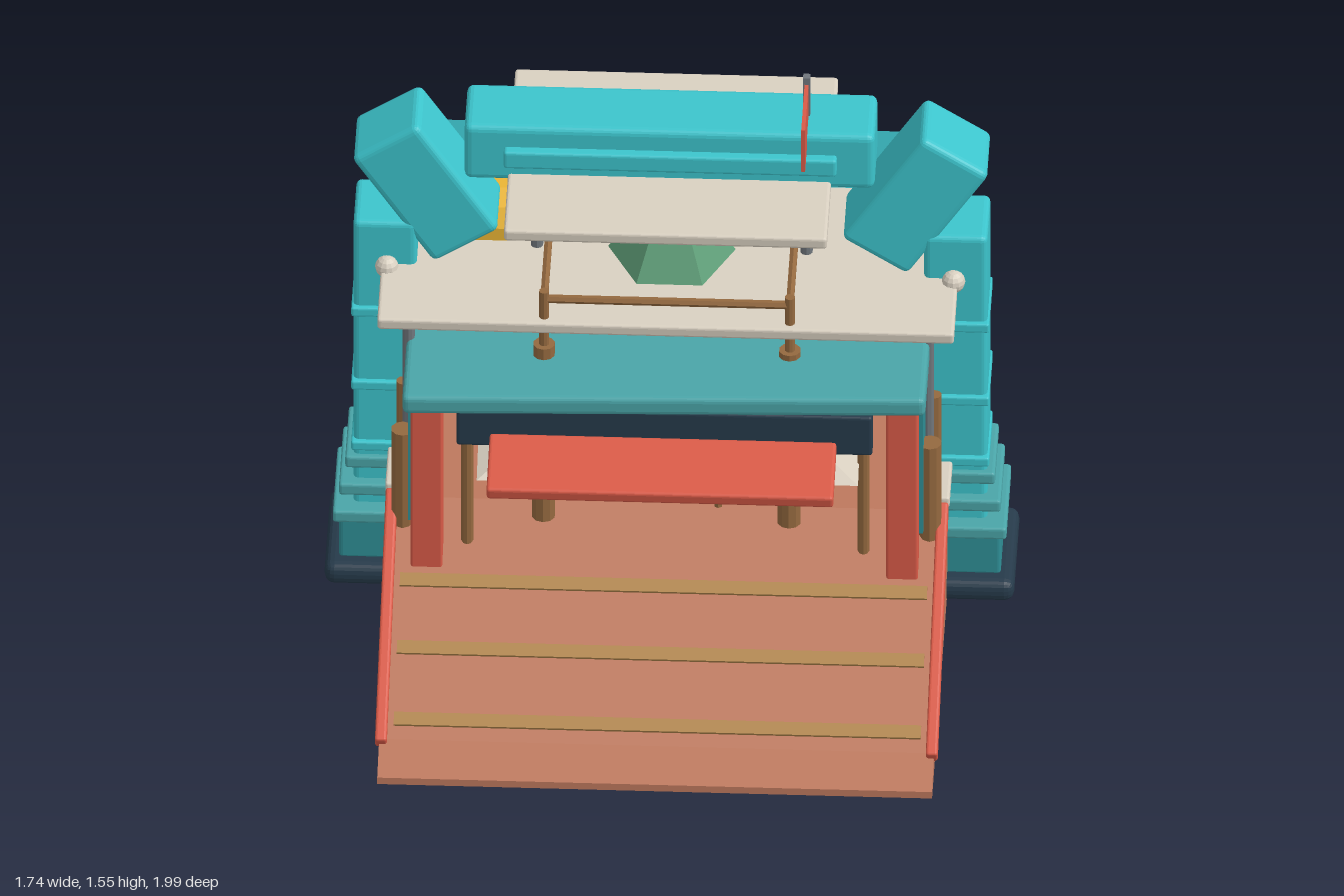
import * as THREE from 'three';
import { RoundedBoxGeometry } from 'three/addons/geometries/RoundedBoxGeometry.js';

const C = {
  cyan: 0x3cc4cc, glow: 0x45d6df, teal: 0x4aa5a8, wall: 0x2f8f96, navy: 0x263a4a, red: 0xd95a47, beige: 0xd8cfc0,
  wood: 0x94693f, tan: 0xb0854c, green: 0x5f9e78, grey: 0x70767c, yellow: 0xeab535, clay: 0xbd785d,
};

export function createModel() {
  const model = new THREE.Group();
  const mats = {};
  const mat = (c) => (mats[c] ??= new THREE.MeshStandardMaterial({ color: C[c], flatShading: true }));

  const add = (name, geo, c, x, y, z, rx = 0, ry = 0, rz = 0) => {
    const m = new THREE.Mesh(geo, mat(c));
    m.name = name;
    m.position.set(x, y, z);
    m.rotation.set(rx, ry, rz);
    model.add(m);
    return m;
  };
  // Box given by its limits on each axis
  const box = (name, c, [x0, x1], [y0, y1], [z0, z1], r = 0, rot = [0, 0, 0]) => {
    const s = [x1 - x0, y1 - y0, z1 - z0];
    const geo = r ? new RoundedBoxGeometry(...s, 2, r) : new THREE.BoxGeometry(...s);
    return add(name, geo, c, (x0 + x1) / 2, (y0 + y1) / 2, (z0 + z1) / 2, ...rot);
  };
  // Round bar between two points
  const bar = (name, c, a, b, r, sides = 10) => {
    const p = new THREE.Vector3(...a), q = new THREE.Vector3(...b);
    const m = add(name, new THREE.CylinderGeometry(r, r, p.distanceTo(q), sides), c, 0, 0, 0);
    m.position.copy(p).add(q).multiplyScalar(0.5);
    m.quaternion.setFromUnitVectors(new THREE.Vector3(0, 1, 0), q.sub(p).normalize());
  };
  const mid = (c, h) => [c - h, c + h];

  // Double ramp, extruded across x
  const profile = new THREE.Shape([[-0.99, 0.03], [1, 0.03], [1, 0.045], [0.42, 0.4], [-0.27, 0.4], [-0.88, 0.09], [-0.99, 0.05]]
    .map((p) => new THREE.Vector2(...p)));
  const rampGeo = new THREE.ExtrudeGeometry(profile, { depth: 1.4, bevelEnabled: false });
  rampGeo.translate(0, 0, -0.7);
  add('ramp', rampGeo, 'clay', 0, 0, 0, 0, Math.PI / 2, 0);

  // Cross slats on both slopes
  const fAngle = Math.atan2(0.31, 0.61), bAngle = Math.atan2(0.355, 0.58);
  for (const z of [0.48, 0.65, 0.83]) {
    const y = 0.4 - (z - 0.27) * 0.508;
    box('frontSlat', 'tan', [-0.665, 0.665], mid(y, 0.008), mid(z, 0.018), 0, [fAngle, 0, 0]);
  }
  for (const z of [-0.51, -0.69, -0.87]) {
    const y = 0.4 + (z + 0.42) * 0.612;
    box('backSlat', 'tan', [-0.665, 0.665], mid(y, 0.008), mid(z, 0.018), 0, [-bAngle, 0, 0]);
  }

  // House: side walls, back wall, floor beam, sign panel and flat roof
  box('backWall', 'navy', [-0.65, 0.65], [0.4, 0.82], [-0.44, -0.42]);
  box('floorBeam', 'tan', [-0.62, 0.62], [0.4, 0.475], [-0.24, -0.2]);
  box('frontPanel', 'navy', [-0.525, 0.525], [0.69, 0.81], [0.4, 0.44], 0.008);
  box('flatRoof', 'teal', [-0.66, 0.66], [0.82, 0.875], [-0.48, 0.47], 0.015, [0, 0, 0.026]);
  add('glowPanel', new THREE.PlaneGeometry(1.26, 0.78), 'glow', 0, 0.81, -0.25);
  box('awning', 'red', [-0.44, 0.435], mid(0.705, 0.018), [0.445, 0.64], 0.008, [0.2, 0, 0]);

  for (const s of [-1, 1]) {
    const sx = (a, b) => (s > 0 ? [a, b] : [-b, -a]);
    box('sideWall', 'wall', sx(0.62, 0.65), [0.4, 0.82], [-0.43, 0.37]);
    box('redPost', 'red', sx(0.56, 0.64), [0.3, s > 0 ? 0.87 : 0.84], [0.37, 0.445], 0.006);

    // Ramp rails and their caps
    box('frontRail', 'red', mid(s * 0.695, 0.015), mid(0.25, 0.02), mid(0.58, 0.355), 0.007, [0.48, 0, 0]);
    box('backRail', 'teal', mid(s * 0.69, 0.017), mid(0.232, 0.02), mid(-0.7, 0.335), 0.007, [-0.56, 0, 0]);
    box('railCap', 'beige', mid(s * 0.695, 0.017), [0.4, 0.432], [-0.42, 0.26], 0.007);

    // Gate pillar with stepped collars and a dark foot
    box('pillar', 'cyan', sx(0.64, 0.8), [0.09, 1.125], [-0.1, 0.092], 0.015);
    box('pillarFoot', 'navy', sx(0.57, 0.87), [0.035, 0.097], [-0.175, 0.167], 0.025);
    box('pillarBase', 'wall', sx(0.6, 0.835), [0.09, 0.225], [-0.13, 0.12], 0.01);
    [[0.23, 0.85, 0.14], [0.305, 0.835, 0.125], [0.38, 0.82, 0.11]].forEach(([y, x, d]) =>
      box('collar', 'teal', sx(0.6, x), mid(y, 0.018), mid(-0.003, d), 0.008));
    [0.43, 0.62, 0.85].forEach((y) => box('pillarBand', 'cyan', sx(0.635, 0.805), mid(y, 0.014), [-0.103, 0.105], 0.006));
    box('gateShoulder', 'cyan', mid(s * 0.618, 0.1), mid(1.213, 0.19), [-0.1, 0.09], 0.018, [0, 0, -s * 0.58]);

    // Supports of the raised boards
    bar('boardPost', 'grey', [s * 0.655, 0.45, 0.21], [s * 0.655, 0.97, 0.21], 0.016);
    bar('upperPost', 'grey', [s * 0.34, 0.87, 0], [s * 0.34, 1.26, 0], 0.016);
    add('boardKnob', new THREE.SphereGeometry(0.03, 12, 8), 'beige', s * 0.715, 0.995, 0.1);

    // Timber posts
    for (const z of [-0.325, 0.32]) {
      bar('sidePost', 'wood', [s * 0.665, 0.36, z], [s * 0.665, 0.65, z], 0.03);
      bar('innerPost', 'wood', [s * 0.31, 0.39, z], [s * 0.31, 0.65, z], 0.03);
    }
    bar('thinPost', 'wood', [s * 0.5, 0.34, 0.37], [s * 0.5, 0.66, 0.37], 0.016);
    bar('middlePost', 'wood', [s * 0.67, 0.43, 0.17], [s * 0.67, 0.69, 0.17], 0.018);
    bar('brace', 'wood', [s * 0.67, 0.43, -0.13], [s * 0.67, 0.56, -0.3], 0.015);
    box('lantern', 'yellow', mid(s * 0.47, 0.03), [0.56, 0.68], [0.2, 0.26], 0.01);

    // Roof railing
    for (const z of [-0.3, 0.28]) {
      bar('railingPost', 'wood', [s * 0.31, 0.87, z], [s * 0.31, 1.065, z], 0.013);
      bar('railingFoot', 'wood', [s * 0.31, 0.865, z], [s * 0.31, 0.9, z], 0.028);
    }
    bar('railingSide', 'wood', [s * 0.31, 1.04, -0.3], [s * 0.31, 1.04, 0.28], 0.011, 6);
    bar('railingCross', 'wood', [-0.31, 1.04, s > 0 ? 0.28 : -0.3], [0.31, 1.04, s > 0 ? 0.28 : -0.3], 0.011, 6);
  }
  for (const y of [0.44, 0.545]) bar('innerRail', 'wood', [-0.14, y, 0.3], [0.14, y, 0.3], 0.011, 6);
  bar('innerRailPost', 'wood', [0.13, 0.42, 0.3], [0.13, 0.58, 0.3], 0.011, 6);

  // Gate lintel
  box('lintel', 'cyan', [-0.52, 0.515], [1.265, 1.432], [-0.1, 0.09], 0.018);
  box('lintelStrip', 'cyan', [-0.42, 0.42], [1.32, 1.372], [0.08, 0.115], 0.008);

  // Two tilted boards over the roof
  box('lowerBoard', 'beige', [-0.73, 0.725], mid(0.987, 0.017), [-0.35, 0.31], 0.008, [0.065, 0, 0]);
  box('upperBoard', 'beige', [-0.41, 0.405], mid(1.275, 0.017), [-0.335, 0.32], 0.008, [0.04, 0, 0]);
  box('vent', 'grey', [0.1, 0.22], [0.87, 0.97], [-0.2, -0.1]);

  // Flag
  box('flagPole', 'grey', mid(0.34, 0.009), [1.39, 1.55], mid(-0.003, 0.01));
  box('flag', 'red', mid(0.34, 0.005), [1.4, 1.53], [0, 0.2]);

  // Rounded chest on the lower board
  const chest = new THREE.Shape([[-0.1, 0], [0.1, 0], [0.1, 0.05], [0.07, 0.095], [0.02, 0.12], [-0.03, 0.12], [-0.08, 0.09], [-0.1, 0.05]]
    .map((p) => new THREE.Vector2(...p)));
  add('chest', new THREE.ExtrudeGeometry(chest, { depth: 0.16, bevelEnabled: false }), 'yellow', -0.41, 0.99, -0.11, 0, -Math.PI / 2, 0);

  // Tiered tree and the hut roof around it
  [[0, 0.2, 0.94, 1.26], [0.1, 0.2, 0.85, 0.95], [0.18, 0.3, 0.56, 0.64], [0.15, 0.25, 0.375, 0.525]].forEach(([rt, rb, y0, y1]) =>
    add('treeTier', new THREE.CylinderGeometry(rt, rb, y1 - y0, 6), 'green', 0, (y0 + y1) / 2, 0, 0, Math.PI / 6, 0));
  add('redCap', new THREE.ConeGeometry(0.24, 0.1, 4), 'red', 0, 0.92, 0, 0, 0.5, 0);
  add('hutRoof', new THREE.ConeGeometry(0.68, 0.2, 4), 'beige', 0, 0.72, 0, 0, Math.PI / 4 + 0.02, 0);

  // Pebbles under the floor
  const tints = ['clay', 'green', 'wood', 'clay', 'yellow'];
  for (let i = 0; i < 14; i++) {
    const a = i * 2.4, r = 0.07 + i * 0.021;
    const p = add('pebble', new THREE.DodecahedronGeometry(0.03), tints[i % 5], 0.08 + Math.cos(a) * r, 0.022, Math.sin(a) * r * 0.6, a, i, 0);
    p.scale.setScalar(0.55 + (i % 3) * 0.08);
  }
  return model;
}
